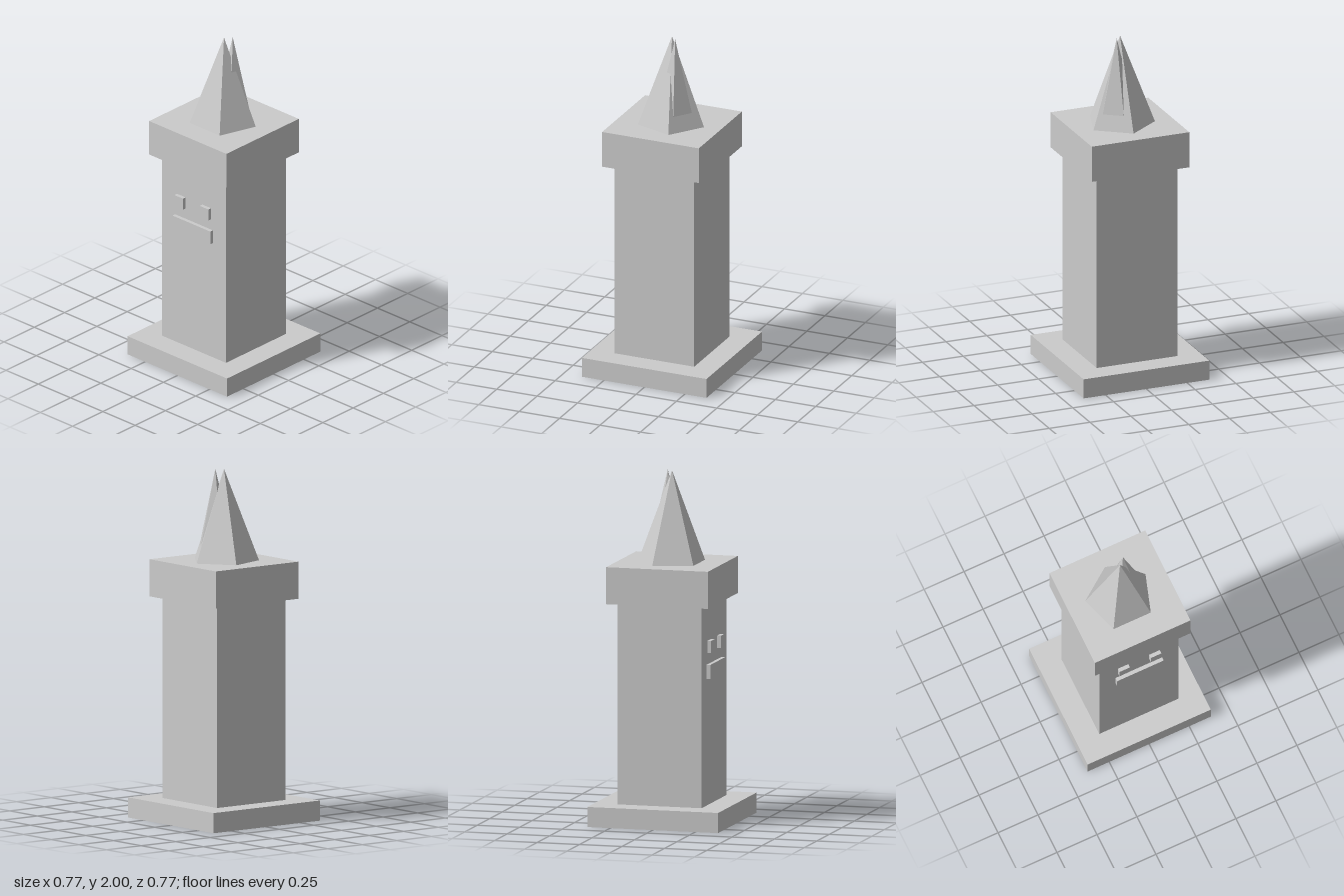
import * as THREE from 'three';

export function createModel() {
  const group = new THREE.Group();
  const material = new THREE.MeshStandardMaterial({ color: 0xcccccc, flatShading: true });

  const add = (name, geometry, x, y, z) => {
    const mesh = new THREE.Mesh(geometry, material);
    mesh.name = name;
    mesh.position.set(x, y, z);
    group.add(mesh);
  };
  // Square slab spanning y0..y1
  const slab = (name, width, y0, y1) =>
    add(name, new THREE.BoxGeometry(width, y1 - y0, width), 0, (y0 + y1) / 2, 0);
  // Five-sided spike with one corner pointing to the back
  const spike = (name, radius, y0, y1, x, z) =>
    add(name, new THREE.ConeGeometry(radius, y1 - y0, 5, 1, false, Math.PI), x, (y0 + y1) / 2, z);

  // Tower
  slab('base', 0.77, 0, 0.115);
  slab('shaft', 0.494, 0.115, 1.265);
  slab('cap', 0.598, 1.265, 1.477);

  // Roof spikes
  spike('mainSpire', 0.198, 1.477, 2, 0, 0);
  spike('sideSpire', 0.125, 1.477, 2, 0.035, -0.035);

  // Face on the front of the shaft
  for (const side of [1, -1]) {
    add(side > 0 ? 'leftEye' : 'rightEye', new THREE.BoxGeometry(0.066, 0.07, 0.044), side * 0.098, 1.02, 0.247);
  }
  add('mouth', new THREE.BoxGeometry(0.292, 0.08, 0.044), 0, 0.88, 0.247);

  return group;
}
